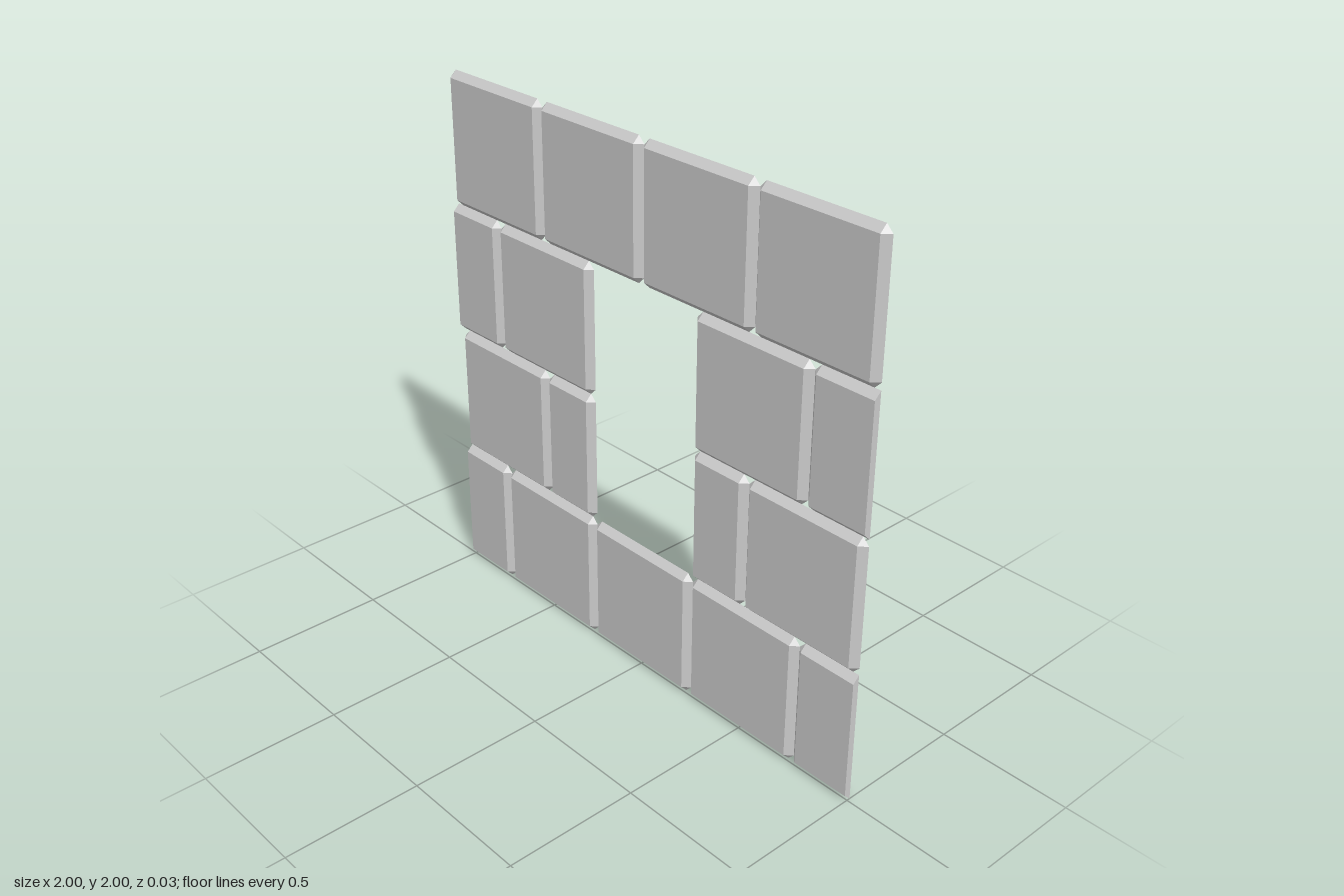
import * as THREE from 'three';
import { ConvexGeometry } from 'three/addons/geometries/ConvexGeometry.js';

const BEVEL = 0.025; // bevel width, also the stone depth
const HALF_DEPTH = 0.0125;
const ROW = 0.5;

// One stone: flat back with clipped corners, front face inset by the bevel.
// An end marked as cut is sawn off straight, without a bevel.
function stoneGeometry(x0, x1, y0, y1, cutLeft, cutRight) {
  const points = [];
  const add = (x, y, z) => points.push(new THREE.Vector3(x, y, z));
  for (const [x, inward, cut] of [[x0, 1, cutLeft], [x1, -1, cutRight]]) {
    const inset = cut ? x : x + inward * BEVEL;
    for (const [y, dir] of [[y0, 1], [y1, -1]]) {
      add(inset, y, -HALF_DEPTH);
      if (!cut) add(x, y + dir * BEVEL, -HALF_DEPTH);
      add(inset, y + dir * BEVEL, HALF_DEPTH);
    }
  }
  return new ConvexGeometry(points);
}

export function createModel() {
  const wall = new THREE.Group();
  wall.name = 'stoneWallWithWindow';
  const material = new THREE.MeshStandardMaterial({ color: 0xcccccc, flatShading: true });

  // Spans of the stones in each course, bottom to top
  const courses = [
    [[-1, -0.75], [-0.75, -0.25], [-0.25, 0.25], [0.25, 0.75], [0.75, 1]],
    [[-1, -0.5], [-0.5, -0.25], [0.25, 0.5], [0.5, 1]],
    [[-1, -0.75], [-0.75, -0.25], [0.25, 0.75], [0.75, 1]],
    [[-1, -0.5], [-0.5, 0], [0, 0.5], [0.5, 1]],
  ];

  courses.forEach((spans, row) => {
    const course = new THREE.Group();
    course.name = `course${row + 1}`;
    spans.forEach(([x0, x1], i) => {
      // Half stones on the outer edges are cut flush with the wall end
      const half = x1 - x0 < 0.4;
      const geometry = stoneGeometry(x0, x1, row * ROW, (row + 1) * ROW, half && x0 === -1, half && x1 === 1);
      const stone = new THREE.Mesh(geometry, material);
      stone.name = `stone${i + 1}`;
      course.add(stone);
    });
    wall.add(course);
  });
  return wall;
}
